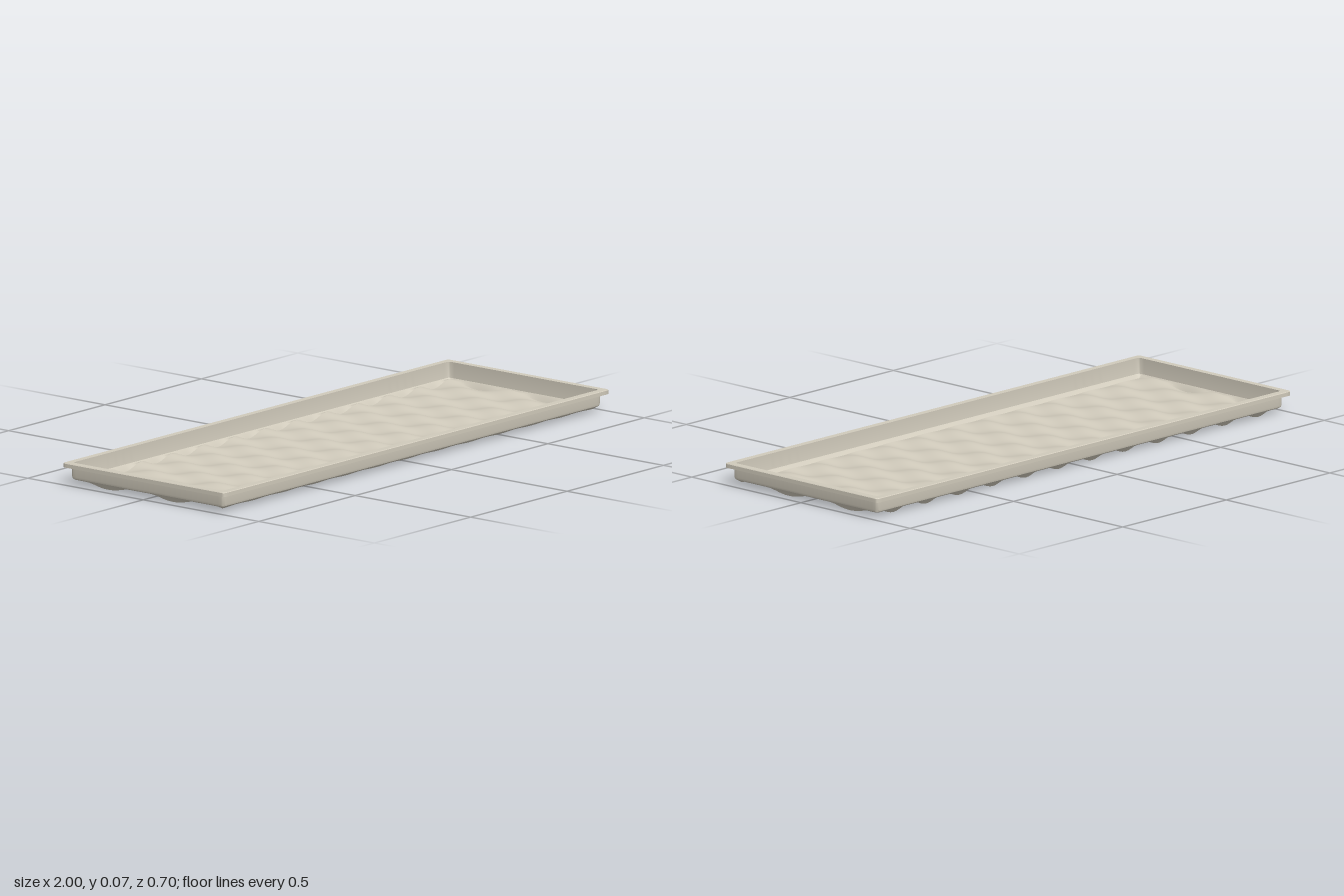
import * as THREE from 'three';
import { toCreasedNormals } from 'three/addons/utils/BufferGeometryUtils.js';

const HALF_X = 0.96, HALF_Z = 0.31; // half size of the floor panel
const SIDE_X = 144, SIDE_Z = 48;    // subdivisions along each side

// Staggered dimples: rows 0.14 apart, bumps 0.16 apart in each row
const floorHeight = (x, z) =>
  0.0105 + 0.0105 * Math.cos((2 * Math.PI * x) / 0.16) * Math.cos((Math.PI * (z + 0.045)) / 0.14);

// Rounded rectangle, grown outwards from the floor edge; y = null follows the floor
function ring(offset, y) {
  const r = Math.min(offset, 0.01);
  const a = HALF_X + offset - r, b = HALF_Z + offset - r;
  const corners = [[a, b], [-a, b], [-a, -b], [a, -b]];
  const points = [];
  corners.forEach(([cx, cz], i) => {
    const start = (i * Math.PI) / 2;
    for (let k = 0; k <= 4; k++) {
      const t = start + (k / 4) * (Math.PI / 2);
      points.push([cx + r * Math.cos(t), cz + r * Math.sin(t)]);
    }
    // straight run to the next corner
    const [px, pz] = points[points.length - 1];
    const [nx, nz] = corners[(i + 1) % 4];
    const end = start + Math.PI / 2;
    const qx = nx + r * Math.cos(end), qz = nz + r * Math.sin(end);
    const n = i % 2 === 0 ? SIDE_X : SIDE_Z;
    for (let k = 1; k < n; k++) {
      points.push([px + ((qx - px) * k) / n, pz + ((qz - pz) * k) / n]);
    }
  });
  return points.map(([x, z]) => [x, y === null ? floorHeight(x, z) : y, z]);
}

// Skin between successive rings
function loft(profile) {
  const rings = profile.map(([offset, y]) => ring(offset, y));
  const n = rings[0].length;
  const index = [];
  for (let j = 0; j < rings.length - 1; j++) {
    for (let i = 0; i < n; i++) {
      const a = j * n + i, b = j * n + ((i + 1) % n);
      index.push(a, b, a + n, b, b + n, a + n);
    }
  }
  const geometry = new THREE.BufferGeometry();
  geometry.setAttribute('position', new THREE.Float32BufferAttribute(rings.flat(2), 3));
  geometry.setIndex(index);
  return toCreasedNormals(geometry, 0.6);
}

export function createModel() {
  const tray = new THREE.Group();
  tray.name = 'tray';
  const stone = new THREE.MeshStandardMaterial({ color: 0xd0cabb, side: THREE.DoubleSide });
  stone.name = 'warm grey';

  // Dimpled floor
  const floor = new THREE.PlaneGeometry(2 * HALF_X, 2 * HALF_Z, SIDE_X, SIDE_Z);
  floor.rotateX(-Math.PI / 2);
  const p = floor.attributes.position;
  for (let i = 0; i < p.count; i++) p.setY(i, floorHeight(p.getX(i), p.getZ(i)));
  floor.computeVertexNormals();

  // Inner face, from the floor edge up to the rim
  const inner = [[0, null], [0.01, 0.017], [0.014, 0.021], [0.015, 0.027], [0.015, 0.075]];
  // Flat rim with a turned-down lip
  const rim = [[0.015, 0.075], [0.038, 0.075], [0.04, 0.073], [0.04, 0.06],
    [0.035, 0.06], [0.035, 0.07], [0.02, 0.07]];
  // Outer face, from under the rim back to the floor edge
  const outer = [[0.02, 0.07], [0.02, 0.028], [0.018, 0.021], [0.013, 0.017], [0, null]];

  const parts = {
    dimpledFloor: floor,
    innerWall: loft(inner),
    rim: loft(rim),
    outerWall: loft(outer),
  };
  for (const [name, geometry] of Object.entries(parts)) {
    const mesh = new THREE.Mesh(geometry, stone);
    mesh.name = name;
    tray.add(mesh);
  }
  return tray;
}
